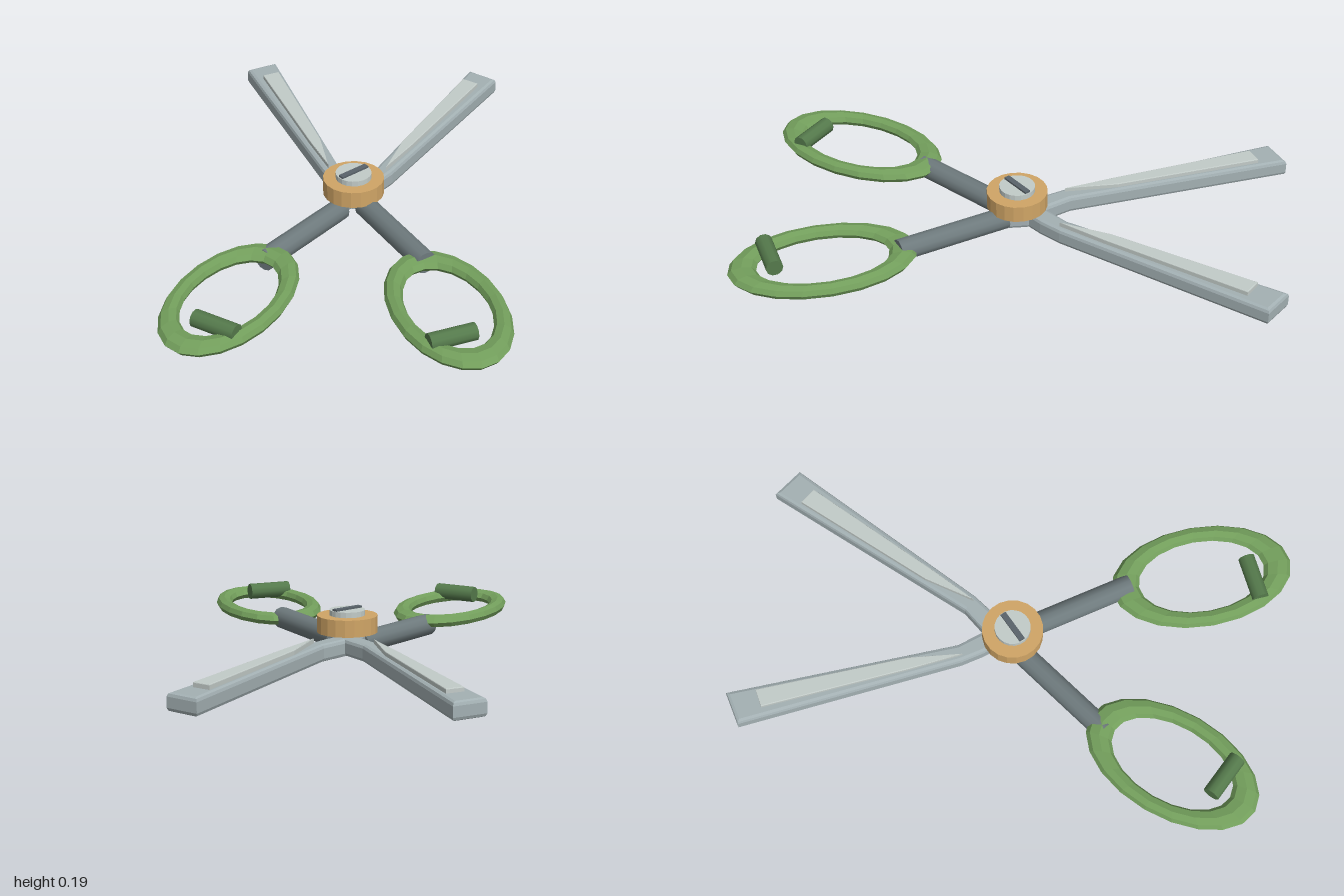
import * as THREE from 'three';

const mat = (color, flatShading = false) => new THREE.MeshStandardMaterial({ color, flatShading });

export function createModel() {
  const group = new THREE.Group();
  const steel = mat(0xa3b0b3, true), fullerSteel = mat(0xc2cbc8, true), darkSteel = mat(0x6e7a7d);
  const grip = mat(0x739f5c, true), peg = mat(0x557a4c), brass = mat(0xd0a566, true), slotGrey = mat(0x59636a);

  const add = (name, geometry, material, x = 0, y = 0, z = 0) => {
    const mesh = new THREE.Mesh(geometry, material);
    mesh.name = name;
    mesh.position.set(x, y, z);
    group.add(mesh);
    return mesh;
  };

  // Flat plate from an x/z outline, lying between y0 and y1 with bevelled rims
  const plate = (points, s, y0, y1, bevel) => {
    const shape = new THREE.Shape(points.map(([x, z]) => new THREE.Vector2(-s * x, -z)));
    return new THREE.ExtrudeGeometry(shape, {
      depth: y1 - y0 - 2 * bevel, bevelThickness: bevel, bevelSize: bevel,
      bevelOffset: -bevel, bevelSegments: 2,
    }).rotateX(-Math.PI / 2).translate(0, y0 + bevel, 0);
  };

  const bladeOutline = [
    [-0.52, -0.93], [-0.41, -1.0], [-0.07, -0.19], [0.05, -0.04],
    [0.065, 0.03], [0.03, 0.045], [-0.085, -0.09], [-0.135, -0.165],
  ];
  const fullerOutline = [[-0.445, -0.855], [-0.385, -0.89], [-0.16, -0.36], [-0.11, -0.165], [-0.2, -0.34]];

  for (const s of [-1, 1]) {
    const side = s > 0 ? 'left' : 'right';

    // Blade and its raised inlay
    const lift = s > 0 ? 0.002 : 0;
    add(side + 'Blade', plate(bladeOutline, -s, 0.02 + lift, 0.086 + lift, 0.014), steel);
    add(side + 'BladeInlay', plate(fullerOutline, -s, 0.08, 0.104, 0.003), fullerSteel);

    // Round handle shaft, one slightly lower than the other
    const y = s > 0 ? 0.062 : 0.043;
    const a = new THREE.Vector3(s * 0.045, y, 0.045), b = new THREE.Vector3(s * 0.29, y, 0.405);
    const dir = b.clone().sub(a);
    const shaft = add(side + 'Shaft', new THREE.CylinderGeometry(0.042, 0.042, dir.length(), 12), darkSteel);
    shaft.position.copy(a).lerp(b, 0.5);
    shaft.quaternion.setFromUnitVectors(new THREE.Vector3(0, 1, 0), dir.normalize());

    // Oval finger ring with a flattened tube
    const ring = new THREE.TorusGeometry(0.85, 0.15, 8, 20)
      .rotateX(Math.PI / 2).scale(0.203, 0.167, 0.347).rotateY(s * 0.37);
    add(side + 'FingerRing', ring, grip, s * 0.375, 0.06, 0.667);

    // Thumb rest lying across the ring
    const rest = new THREE.CylinderGeometry(0.032, 0.032, 0.17, 10).rotateZ(Math.PI / 2).rotateY(s * 0.46);
    add(side + 'ThumbRest', rest, peg, s * 0.395, 0.084, 0.86);
  }

  // Pivot: collar, screw head and diagonal slot
  add('pivotPost', new THREE.CylinderGeometry(0.04, 0.04, 0.1, 16), steel, 0, 0.09, 0);
  add('pivotCollar', new THREE.CylinderGeometry(0.114, 0.114, 0.064, 20), brass, 0, 0.127, 0.005);
  add('screwHead', new THREE.CylinderGeometry(0.067, 0.067, 0.025, 20), fullerSteel, 0, 0.167, 0.005);
  add('screwSlot', new THREE.BoxGeometry(0.125, 0.014, 0.022).rotateY(Math.PI / 4), slotGrey, 0, 0.18, 0.005);

  return group;
}
